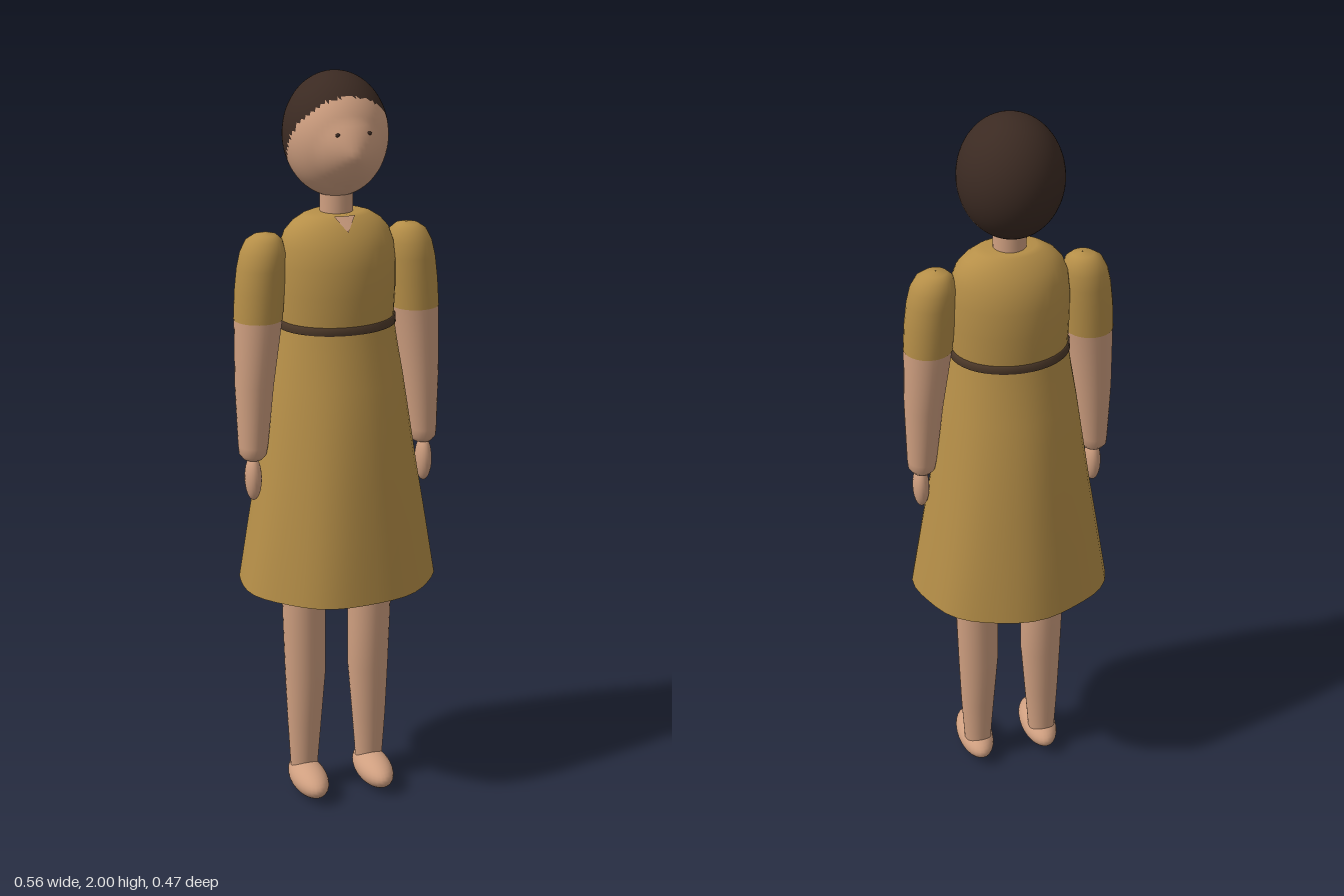
import * as THREE from 'three';

const mat = (name, color, side = THREE.FrontSide) => {
  const m = new THREE.MeshStandardMaterial({ color, side });
  m.name = name;
  return m;
};

// Smooth tube through elliptical rings [y, rx, rz, cx, cz], listed bottom to top
function loft(rings, segments = 32, wobble = () => 1) {
  const pos = [], index = [];
  rings.forEach(([y, rx, rz, cx = 0, cz = 0]) => {
    for (let j = 0; j < segments; j++) {
      const a = (j / segments) * Math.PI * 2, w = wobble(a, y);
      pos.push(cx + Math.cos(a) * rx * w, y, cz + Math.sin(a) * rz * w);
    }
  });
  for (let i = 0; i < rings.length - 1; i++) {
    for (let j = 0; j < segments; j++) {
      const a = i * segments + j, b = i * segments + ((j + 1) % segments);
      index.push(a, a + segments, b, a + segments, b + segments, b);
    }
  }
  const g = new THREE.BufferGeometry();
  g.setAttribute('position', new THREE.Float32BufferAttribute(pos, 3));
  g.setIndex(index);
  g.computeVertexNormals();
  return g;
}

// Egg-shaped head with a pointed nose, divided along a slanting hairline
function headParts() {
  const g = new THREE.SphereGeometry(1, 64, 44);
  const p = g.attributes.position;
  for (let i = 0; i < p.count; i++) {
    const x = p.getX(i) * 0.135, y = 1.84 + p.getY(i) * 0.16;
    let z = p.getZ(i) * 0.145 - 0.01;
    if (z > 0) z += 0.032 * Math.max(0, 1 - Math.hypot(x, y - 1.81) / 0.09);
    p.setXYZ(i, x, y, z);
  }
  g.computeVertexNormals();
  const hair = [], face = [], idx = g.index.array;
  for (let i = 0; i < idx.length; i += 3) {
    const t = [idx[i], idx[i + 1], idx[i + 2]];
    const y = t.reduce((s, k) => s + p.getY(k), 0) / 3;
    const z = t.reduce((s, k) => s + p.getZ(k), 0) / 3;
    (z < 0.1 - 0.65 * (1.96 - y) ? hair : face).push(...t);
  }
  return [hair, face].map((list) => g.clone().setIndex(list));
}

export function createModel() {
  const group = new THREE.Group();
  const skin = mat('skin', 0xcf9f80);
  const cloth = mat('dress cloth', 0xb68f48, THREE.DoubleSide);
  const hair = mat('hair', 0x3b2a22);
  const belt = mat('belt', 0x4e3a2a);
  const add = (name, geometry, material) => {
    const m = new THREE.Mesh(geometry, material);
    m.name = name;
    group.add(m);
    return m;
  };

  // Head, hair and neck
  const [hairGeo, faceGeo] = headParts();
  add('hair', hairGeo, hair);
  add('face', faceGeo, skin);
  add('neck', loft([[1.56, 0.046, 0.046], [1.64, 0.043, 0.043], [1.74, 0.043, 0.043]], 24), skin);

  // Dress: flared open skirt with an uneven hem, fitted bodice, waist band
  const hemWave = (a, y) => {
    const k = Math.max(0, (1.36 - y) / 0.73);
    return 1 + 0.014 * k * (Math.sin(7 * a + 0.6) + 0.6 * Math.sin(4 * a));
  };
  add('skirt', loft([
    [0.63, 0.266, 0.233], [0.8, 0.239, 0.215], [0.95, 0.214, 0.198],
    [1.09, 0.193, 0.179], [1.2, 0.177, 0.158], [1.29, 0.162, 0.138], [1.36, 0.152, 0.126],
  ], 40, hemWave), cloth);
  add('bodice', loft([
    [1.36, 0.152, 0.126], [1.44, 0.156, 0.128], [1.51, 0.156, 0.125], [1.56, 0.151, 0.114],
    [1.595, 0.139, 0.097], [1.62, 0.117, 0.08], [1.637, 0.09, 0.063], [1.643, 0.07, 0.053], [1.643, 0.03, 0.03],
  ], 40), cloth);
  add('waistBand', loft([
    [1.343, 0.152, 0.126], [1.344, 0.158, 0.132], [1.364, 0.157, 0.131], [1.365, 0.15, 0.124],
  ], 40), belt);

  // Small open notch at the collar
  const notch = new THREE.BufferGeometry();
  notch.setAttribute('position', new THREE.Float32BufferAttribute([
    -0.028, 1.642, 0.064, 0, 1.605, 0.095, 0.028, 1.642, 0.064, 0, 1.642, 0.067], 3));
  notch.setIndex([0, 1, 3, 3, 1, 2]);
  notch.computeVertexNormals();
  add('collarNotch', notch, skin);

  for (const s of [1, -1]) {
    const side = s > 0 ? 'left' : 'right';
    const mirror = (rings) => rings.map(([y, rx, rz, cx, cz]) => [y, rx, rz, s * cx, cz]);

    // Arm with puffed sleeve, forearm and hand
    add(side + 'Sleeve', loft(mirror([
      [1.375, 0.064, 0.066, 0.215, 0.006], [1.45, 0.065, 0.066, 0.21, 0.004], [1.51, 0.063, 0.065, 0.205, 0.003],
      [1.55, 0.059, 0.06, 0.2, 0.002], [1.58, 0.048, 0.046, 0.196, 0], [1.594, 0.03, 0.028, 0.193, 0],
      [1.598, 0.001, 0.001, 0.192, 0],
    ]), 28), cloth);
    add(side + 'Arm', loft(mirror([
      [0.995, 0.001, 0.001, 0.237, 0.016], [0.999, 0.026, 0.03, 0.237, 0.016], [1.012, 0.036, 0.042, 0.237, 0.016],
      [1.035, 0.039, 0.045, 0.236, 0.016], [1.2, 0.051, 0.054, 0.229, 0.011], [1.376, 0.063, 0.065, 0.215, 0.006],
    ]), 28), skin);
    const hand = add(side + 'Hand', new THREE.SphereGeometry(1, 20, 16), skin);
    hand.scale.set(0.022, 0.062, 0.031);
    hand.position.set(s * 0.239, 0.946, 0.023);

    // Leg and rounded foot
    add(side + 'Leg', loft(mirror([
      [0.04, 0.036, 0.036, 0.095, 0], [0.1, 0.04, 0.038, 0.095, 0.001], [0.2, 0.047, 0.044, 0.094, 0.002],
      [0.35, 0.056, 0.053, 0.091, 0.002], [0.48, 0.058, 0.059, 0.093, 0.002], [0.63, 0.06, 0.064, 0.095, 0.002],
      [0.95, 0.065, 0.07, 0.09, 0],
    ]), 28), skin);
    const foot = add(side + 'Foot', new THREE.SphereGeometry(1, 28, 18), skin);
    foot.scale.set(0.049, 0.043, 0.106);
    foot.position.set(s * 0.095, 0.045, 0.038);

    // Tiny eye
    const eye = add(side + 'Eye', new THREE.SphereGeometry(1, 10, 8), hair);
    eye.scale.set(0.007, 0.005, 0.004);
    eye.position.set(s * 0.041, 1.865, 0.133);
  }
  return group;
}
